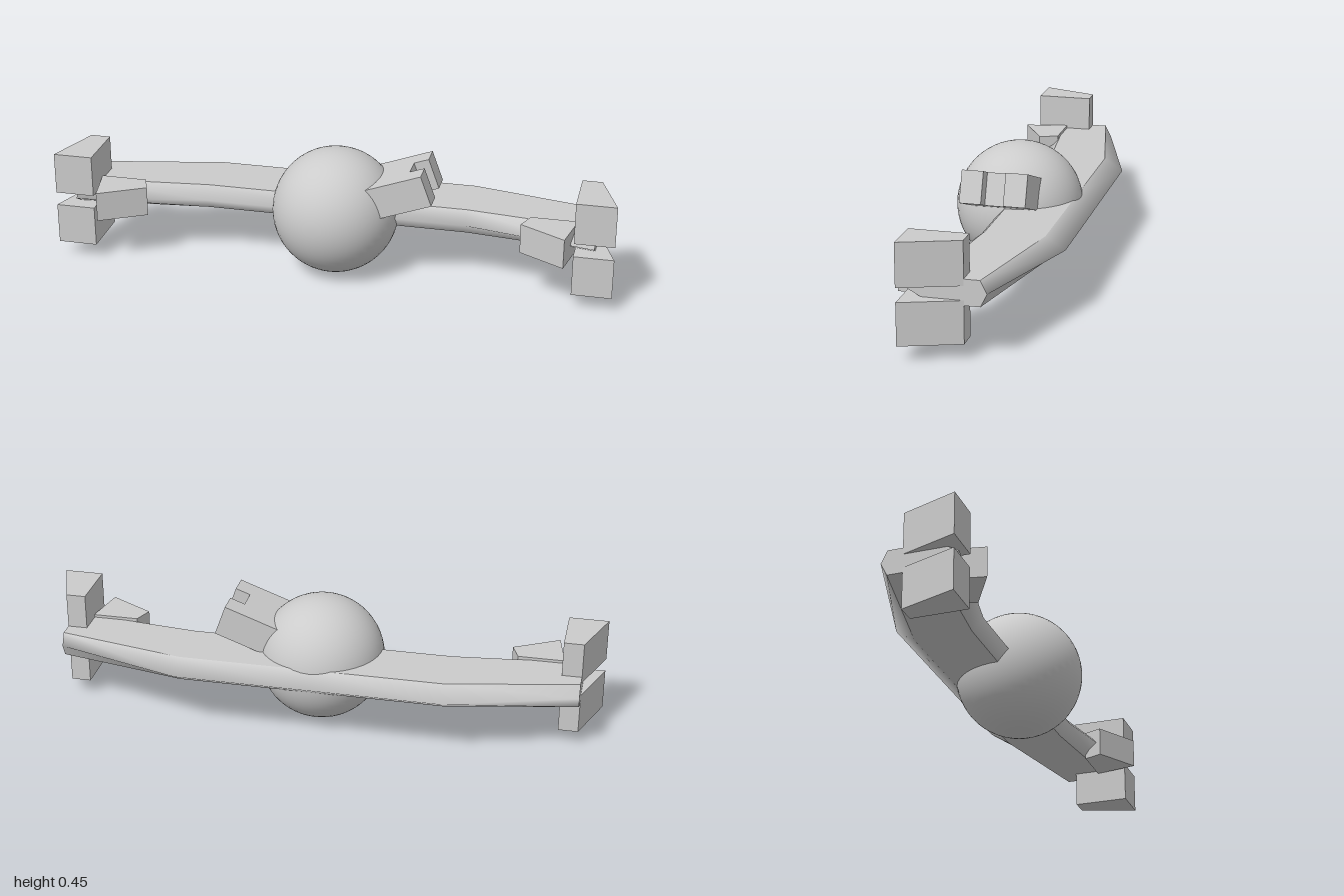
import * as THREE from 'three';
import { mergeGeometries } from 'three/addons/utils/BufferGeometryUtils.js';

const grey = new THREE.MeshStandardMaterial({ color: 0xcccccc });

function addMesh(parent, name, geometry) {
  const mesh = new THREE.Mesh(geometry, grey);
  mesh.name = name;
  parent.add(mesh);
  return mesh;
}

// Upright prism from an [x, z] plan outline, between two heights
function prism(plan, y0, y1, side = 1) {
  const shape = new THREE.Shape(plan.map(([x, z]) => new THREE.Vector2(x * side, -z)));
  return new THREE.ExtrudeGeometry(shape, { depth: y1 - y0, bevelEnabled: false })
    .rotateX(-Math.PI / 2)
    .translate(0, y0, 0);
}

function indexed(points, index) {
  const geometry = new THREE.BufferGeometry();
  geometry.setAttribute('position', new THREE.Float32BufferAttribute(points.flat(), 3));
  geometry.setIndex(index);
  geometry.computeVertexNormals();
  return geometry;
}

// Swept beam: hexagonal sections joined by strips; nose and tail are smooth
function wingGeometry() {
  const mid = 0.226, half = 0.044;
  // tail point, tail corner, nose corner, nose point (z)
  const inner = [-0.25, -0.182, 0.025, 0.065];
  const tip = [-0.11, -0.088, 0.075, 0.155];
  const stations = [[-0.93, tip], [-0.47, inner], [0, inner], [0.47, inner], [0.93, tip]];
  const rings = stations.map(([x, [tail, back, front, nose]]) => [
    [x, mid, tail], [x, mid + half, back], [x, mid + half, front],
    [x, mid, nose], [x, mid - half, front], [x, mid - half, back],
  ]);

  // top, nose, bottom, tail
  const parts = [[1, 2], [2, 3, 4], [4, 5], [5, 0, 1]].map((columns) => {
    const n = columns.length;
    const points = rings.flatMap((ring) => columns.map((c) => ring[c]));
    const index = [];
    for (let i = 0; i < rings.length - 1; i++) {
      for (let j = 0; j < n - 1; j++) {
        const a = i * n + j, d = a + n;
        index.push(a, a + 1, d + 1, a, d + 1, d);
      }
    }
    return indexed(points, index);
  });

  // end caps
  const fan = [0, 1, 2, 0, 2, 3, 0, 3, 4, 0, 4, 5];
  parts.push(indexed(rings[rings.length - 1], fan));
  parts.push(indexed(rings[0], [...fan].reverse()));
  return mergeGeometries(parts);
}

export function createModel() {
  const model = new THREE.Group();
  model.name = 'spacecraft';

  // Central ball
  addMesh(model, 'hull', new THREE.SphereGeometry(0.225, 48, 32)).position.set(0, 0.225, 0.026);

  addMesh(model, 'wing', wingGeometry());

  // Wing-tip pods and angled blocks, mirrored
  const podPlan = [[0.86, -0.035], [0.93, -0.035], [1, 0.165], [0.86, 0.165]];
  const blockPlan = [[0.862, 0.055], [0.832, 0.212], [0.672, 0.122], [0.698, 0.055]];
  for (const [side, label] of [[1, 'left'], [-1, 'right']]) {
    addMesh(model, label + 'UpperPod', prism(podPlan, 0.247, 0.396, side));
    addMesh(model, label + 'LowerPod', prism(podPlan, 0.053, 0.199, side));
    addMesh(model, label + 'FrontBlock', prism(blockPlan, 0.173, 0.28, side));
  }

  // Tilted arm on the left with a notched outer end
  const armPlan = [
    [-0.25, -0.085], [0, -0.085], [0, -0.008], [-0.055, -0.008],
    [-0.055, 0.07], [0, 0.07], [0, 0.146], [-0.25, 0.146],
  ];
  const arm = addMesh(model, 'notchedArm', prism(armPlan, 0, 0.114));
  arm.position.set(0.364, 0.326, 0);
  arm.rotation.z = THREE.MathUtils.degToRad(20);

  return model;
}
